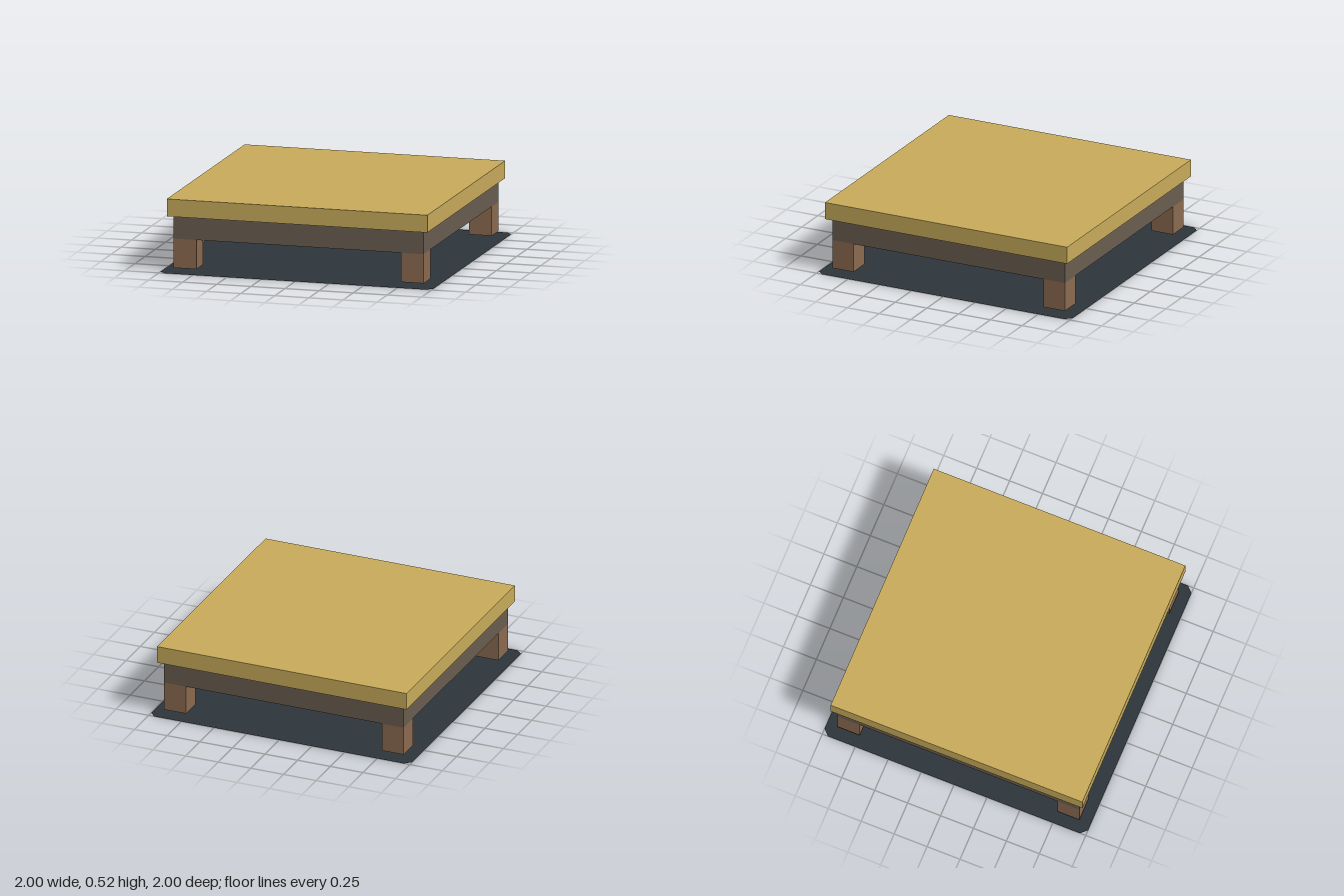
import * as THREE from 'three';

const flat = (name, color, side = THREE.FrontSide) => {
  const m = new THREE.MeshStandardMaterial({ color, side });
  m.name = name;
  return m;
};

export function createModel() {
  const gold = flat('gold', 0xc8ab5b, THREE.DoubleSide);
  const greyBrown = flat('grey brown', 0x6a5d4f, THREE.DoubleSide);
  const wood = flat('wood brown', 0x8b6a50);
  const slate = flat('dark slate', 0x2d343b, THREE.DoubleSide);

  const model = new THREE.Group();
  model.name = 'lowTable';

  const add = (name, geometry, material, x = 0, y = 0, z = 0) => {
    const mesh = new THREE.Mesh(geometry, material);
    mesh.name = name;
    mesh.position.set(x, y, z);
    model.add(mesh);
    return mesh;
  };

  // Four thin upright panels around a square, open above and below
  const ring = (name, half, bottom, top, material) => {
    for (let i = 0; i < 4; i++) {
      const g = new THREE.PlaneGeometry(half * 2, top - bottom);
      g.translate(0, (top + bottom) / 2, half);
      g.rotateY((i * Math.PI) / 2);
      add(name + (i + 1), g, material);
    }
  };

  // Table top: a hollow tray turned upside down
  const topHalf = 0.955, topY = 0.525, rimY = 0.4;
  const panel = new THREE.PlaneGeometry(topHalf * 2, topHalf * 2).rotateX(-Math.PI / 2);
  add('tableTop', panel, gold, 0, topY, 0);
  ring('tableTopRim', topHalf, rimY, topY, gold);

  // Apron below the top
  const apronHalf = 0.917, apronY = 0.235;
  ring('apron', apronHalf, apronY, rimY, greyBrown);

  // Legs, flush with the apron
  const legW = 0.167, legBottom = 0.025, legH = apronY - legBottom;
  const legAt = apronHalf - legW / 2;
  for (const sx of [1, -1]) {
    for (const sz of [1, -1]) {
      add(`${sz > 0 ? 'front' : 'back'}${sx > 0 ? 'Left' : 'Right'}Leg`,
        new THREE.BoxGeometry(legW, legH, legW), wood,
        sx * legAt, legBottom + legH / 2, sz * legAt);
    }
  }

  // Flat ground mat with clipped corners
  const c = 0.957;
  const outline = [[1, -c], [1, c], [c, 1], [-c, 1], [-1, c], [-1, -c], [-c, -1], [c, -1]];
  const mat = new THREE.Shape(outline.map(([x, y]) => new THREE.Vector2(x, y)));
  add('groundMat', new THREE.ShapeGeometry(mat).rotateX(-Math.PI / 2), slate);

  return model;
}
